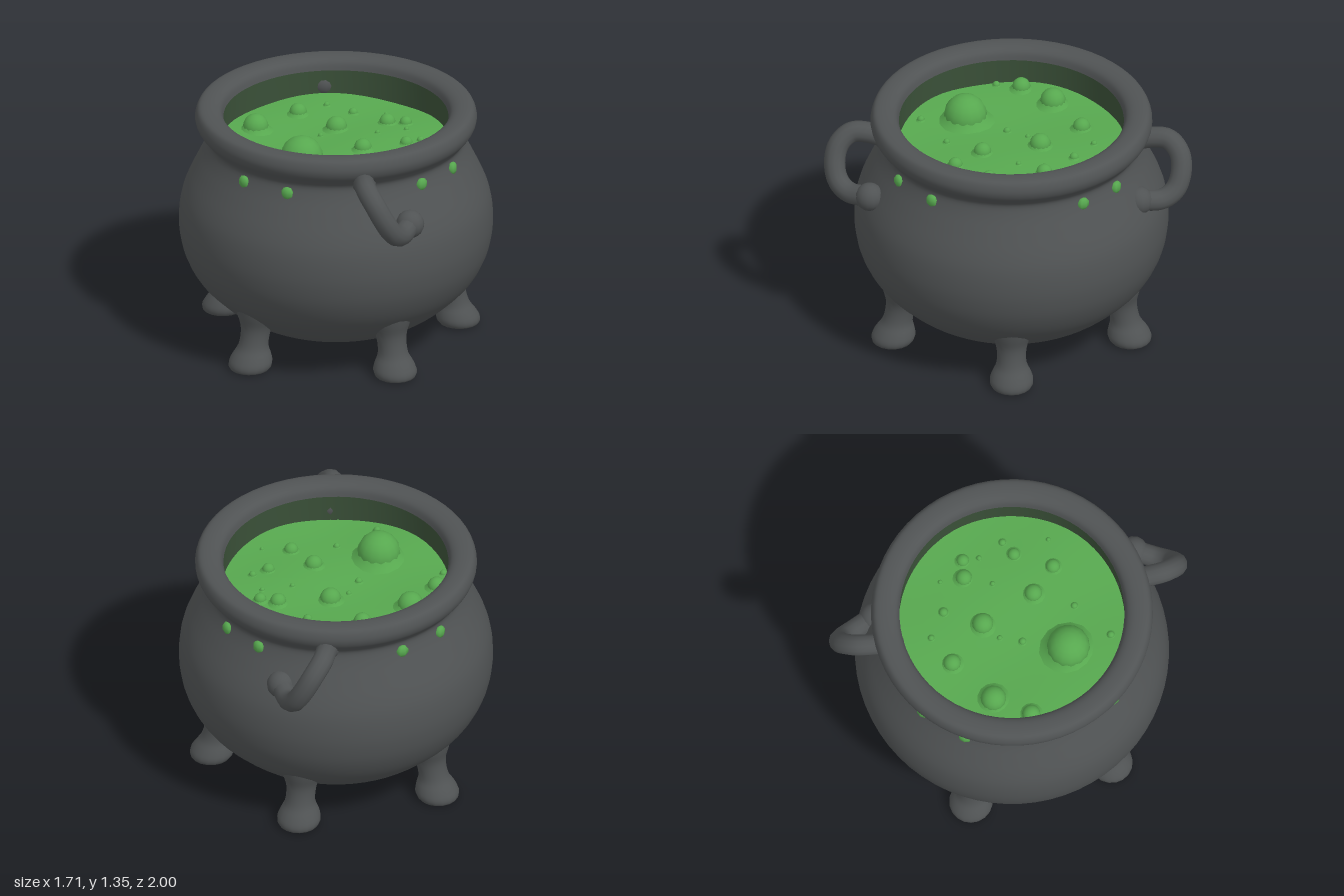
import * as THREE from 'three';

const V2 = (x, y) => new THREE.Vector2(x, y);
const mat = (name, color) => new THREE.MeshStandardMaterial({ name, color });

export function createModel() {
  const root = new THREE.Group();
  root.name = 'cauldron';
  const iron = mat('dark iron', 0x505354);
  const green = mat('green brew', 0x57a84f);
  const stained = mat('stained inner wall', 0x3a5038);

  const add = (name, geo, material, parent = root) => {
    const m = new THREE.Mesh(geo, material);
    m.name = name;
    parent.add(m);
    return m;
  };
  const lathe = (pts, steps, sides) => {
    const curve = new THREE.SplineCurve(pts.map(p => V2(...p)));
    const smooth = curve.getPoints(steps).map(p => V2(Math.max(p.x, 0), p.y));
    return new THREE.LatheGeometry(smooth, sides);
  };

  // Pot: round belly, narrow neck and thick rolled rim
  add('pot', lathe([
    [0, 0.045], [0.2, 0.06], [0.4, 0.117], [0.57, 0.2], [0.7, 0.31], [0.775, 0.4], [0.828, 0.51],
    [0.852, 0.62], [0.855, 0.72], [0.842, 0.82], [0.812, 0.91], [0.765, 1.01], [0.722, 1.1],
    [0.703, 1.165], [0.725, 1.205], [0.757, 1.245], [0.768, 1.29], [0.753, 1.335], [0.72, 1.35],
    [0.665, 1.347], [0.628, 1.325], [0.613, 1.285],
  ], 84, 64), iron);
  add('innerWall', lathe([[0.613, 1.285], [0.615, 1.2], [0.617, 1.1]], 4, 64), stained);

  // Brew surface: a gently rolling disc
  const level = 1.14;
  const wave = (x, z) => level + 0.012 * Math.sin(7 * x + 2 * z) * Math.cos(6 * z - x);
  const brew = new THREE.RingGeometry(0.001, 0.617, 48, 10).rotateX(-Math.PI / 2);
  const bp = brew.attributes.position;
  for (let i = 0; i < bp.count; i++) bp.setY(i, wave(bp.getX(i), bp.getZ(i)));
  brew.computeVertexNormals();
  add('brew', brew, green);

  // Bubbles: x, z, radius
  const bubbles = new THREE.Group();
  bubbles.name = 'bubbles';
  root.add(bubbles);
  [
    [-0.2, 0.28, 0.118], [-0.43, -0.17, 0.07], [0.01, -0.16, 0.058], [-0.19, -0.36, 0.048],
    [0.29, -0.22, 0.044], [0.39, -0.21, 0.034], [-0.55, 0.02, 0.05], [0.14, 0.14, 0.048],
    [0.38, 0.07, 0.034], [0.28, 0.27, 0.039], [0.11, -0.36, 0.025], [-0.12, 0.04, 0.02],
    [-0.03, -0.45, 0.017], [-0.16, 0.52, 0.02], [0.04, 0.35, 0.018], [0.23, -0.07, 0.014],
    [0.46, 0.02, 0.02], [-0.57, 0.16, 0.02], [-0.08, -0.08, 0.014], [0.29, -0.35, 0.012],
    [0.44, 0.27, 0.012], [0.39, -0.12, 0.014],
  ].forEach(([x, z, r]) => {
    add('bubble', new THREE.SphereGeometry(r, 14, 10), green, bubbles)
      .position.set(x, wave(x, z) + 0.25 * r, z);
    // Raised skirt where the bubble swells out of the brew
    add('bubbleSkirt', new THREE.LatheGeometry(
      [V2(1.5 * r, -0.15 * r), V2(1.15 * r, 0.05 * r), V2(0.9 * r, 0.4 * r)], 14), green, bubbles)
      .position.set(x, wave(x, z), z);
  });

  // Five splayed legs with knobbly feet
  const legGeo = lathe([
    [0, 0.004], [0.09, 0.004], [0.113, 0.015], [0.119, 0.045], [0.105, 0.085], [0.084, 0.13],
    [0.08, 0.19], [0.09, 0.25], [0.118, 0.31], [0.14, 0.36],
  ], 27, 18);
  legGeo.applyMatrix4(new THREE.Matrix4().makeShear(0, 0, 0, -0.24, 0, 0));
  legGeo.translate(0, 0, 0.685);
  for (let i = 0; i < 5; i++) {
    add('leg', legGeo, iron).rotation.y = THREE.MathUtils.degToRad(25.8 + 72 * i);
  }

  // Slanted loop handles, front and back
  const handle = (name, shift, side) => {
    const g = new THREE.Group();
    g.name = name;
    root.add(g);
    const pts = [
      [0.12, 1.19, 0.67], [0.12, 1.215, 0.77], [0.13, 1.215, 0.86], [0.17, 1.16, 0.925],
      [0.22, 1.07, 0.942], [0.27, 0.985, 0.915], [0.315, 0.945, 0.85], [0.37, 0.96, 0.73],
    ].map(([x, y, z]) => new THREE.Vector3(x + shift, y, z * side));
    add('loop', new THREE.TubeGeometry(new THREE.CatmullRomCurve3(pts), 40, 0.058, 12), iron, g);
    add('upperKnob', new THREE.SphereGeometry(0.07, 14, 10), iron, g).position.copy(pts[0]);
    add('lowerKnob', new THREE.SphereGeometry(0.078, 14, 10), iron, g).position.copy(pts[7]);
  };
  handle('frontHandle', 0, 1);
  handle('backHandle', -0.16, -1);

  // Pairs of faceted green studs around the neck: x, z
  const studGeo = new THREE.SphereGeometry(0.037, 7, 5);
  [
    [-0.53, 0.49], [-0.3, 0.66], [0.45, 0.57], [0.63, 0.36],
    [0.54, -0.47], [0.35, -0.63], [-0.44, -0.57], [-0.62, -0.36],
  ].forEach(([x, z]) => {
    const a = Math.atan2(x, z);
    const stud = add('stud', studGeo, green);
    stud.position.set(0.712 * Math.sin(a), 1.12, 0.712 * Math.cos(a));
    stud.rotation.y = a;
    stud.scale.z = 0.65;
  });

  return root;
}
